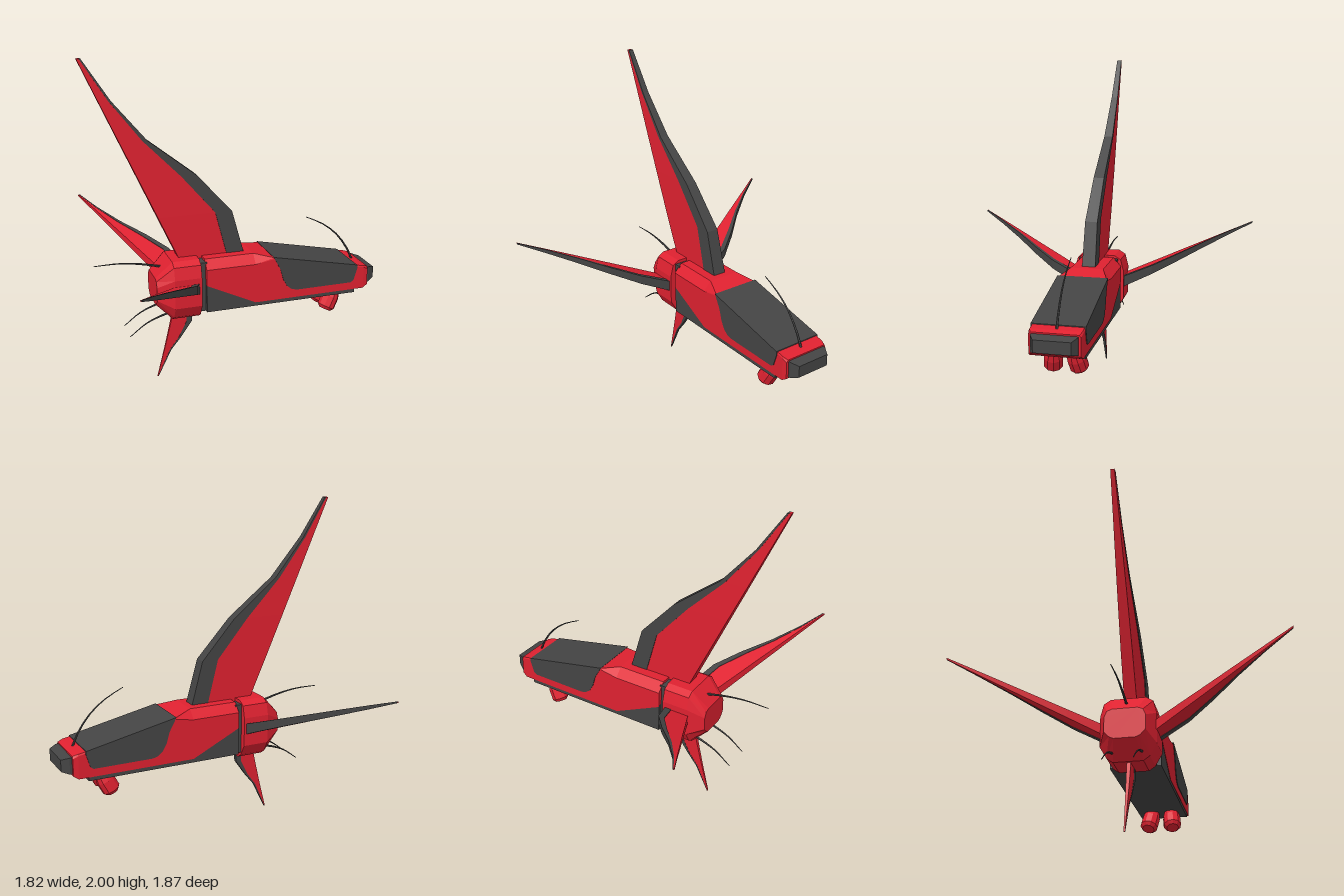
import * as THREE from 'three';

const red = new THREE.MeshStandardMaterial({ color: 0xdf2130, flatShading: true });
const dark = new THREE.MeshStandardMaterial({ color: 0x444444, flatShading: true });
const V = (x, y, z) => new THREE.Vector3(x, y, z);

// Closed solid through matching rings of points, always wound outward
function loft(rings) {
  const tris = [];
  const n = rings[0].length;
  for (let i = 0; i < rings.length - 1; i++) {
    for (let j = 0; j < n; j++) {
      const k = (j + 1) % n, a = rings[i], b = rings[i + 1];
      tris.push([a[j], a[k], b[k]], [a[j], b[k], b[j]]);
    }
  }
  const first = rings[0], last = rings[rings.length - 1];
  for (let j = 1; j < n - 1; j++) {
    tris.push([first[0], first[j + 1], first[j]], [last[0], last[j], last[j + 1]]);
  }
  let volume = 0;
  const c = first[0];
  for (const [p, q, r] of tris) {
    volume += p.clone().sub(c).dot(q.clone().sub(c).cross(r.clone().sub(c)));
  }
  const points = tris.flatMap(t => (volume < 0 ? [t[0], t[2], t[1]] : t));
  const g = new THREE.BufferGeometry().setFromPoints(points);
  g.computeVertexNormals();
  return g;
}

// Side outline extruded evenly to both sides of z = 0
function slab(outline, half) {
  const shape = new THREE.Shape(outline.map(p => new THREE.Vector2(...p)));
  return new THREE.ExtrudeGeometry(shape, { depth: half * 2, bevelEnabled: false }).translate(0, 0, -half);
}

function add(parent, name, geometry, material) {
  const m = new THREE.Mesh(geometry, material);
  m.name = name;
  parent.add(m);
  return m;
}

// Fin rows: [span, trailing x, split x, leading x, half thickness]
function addFin(parent, name, rows, place) {
  const fin = new THREE.Group();
  fin.name = name;
  const strip = (from, to, scale) => loft(rows.map(r => {
    const t = r[4] * scale;
    return [place(r[from], r[0], -t), place(r[to], r[0], -t), place(r[to], r[0], t), place(r[from], r[0], t)];
  }));
  add(fin, name + 'Panel', strip(1, 2, 0.88), red);
  add(fin, name + 'LeadingEdge', strip(2, 3, 1), dark);
  parent.add(fin);
}

// Tapered whisker along points in the xy plane
function addWhisker(parent, name, pts, z) {
  const curve = new THREE.CatmullRomCurve3(pts.map(p => V(p[0], p[1], z)));
  const rings = [];
  for (let i = 0; i <= 8; i++) {
    const p = curve.getPoint(i / 8), t = curve.getTangent(i / 8), r = 0.008 - i * 0.0007;
    const ring = [];
    for (let j = 0; j < 6; j++) {
      const a = j * Math.PI / 3, u = Math.cos(a) * r;
      ring.push(V(p.x - t.y * u, p.y + t.x * u, z + Math.sin(a) * r));
    }
    rings.push(ring);
  }
  add(parent, name, loft(rings), dark);
}

export function createModel() {
  const model = new THREE.Group();
  model.name = 'wingedCraft';

  // Red hull shell: [x, bottom, shoulder, top, top half width, half width]
  const hull = [
    [-0.22, 0.63, 0.73, 0.785, 0.1, 0.15],
    [0.09, 0.48, 0.73, 0.785, 0.1, 0.15],
    [0.21, 0.48, 0.75, 0.758, 0.147, 0.15],
    [0.78, 0.48, 0.628, 0.637, 0.145, 0.15],
    [0.82, 0.48, 0.62, 0.63, 0.145, 0.15],
    [0.85, 0.5, 0.605, 0.62, 0.135, 0.145],
  ];
  add(model, 'hullShell', loft(hull.map(([x, yb, ys, yt, ht, w]) => [
    V(x, yb, -w), V(x, yb, w), V(x, ys, w), V(x, yt, ht), V(x, yt, -ht), V(x, ys, -w),
  ])), red);

  // Dark underside, canopy, collar and nose
  add(model, 'underside', slab([[-0.22, 0.457], [0.76, 0.457], [0.76, 0.485], [0.1, 0.485], [-0.22, 0.64]], 0.148), dark);
  add(model, 'canopy', slab([
    [0.205, 0.763], [0.25, 0.68], [0.27, 0.61], [0.295, 0.565], [0.325, 0.54], [0.36, 0.53],
    [0.73, 0.53], [0.75, 0.545], [0.775, 0.625], [0.772, 0.643],
  ], 0.154), dark);
  add(model, 'collar', slab([[-0.26, 0.457], [-0.21, 0.457], [-0.21, 0.77], [-0.26, 0.77]], 0.122), dark);
  const noseRing = (x, y0, y1, w) => [V(x, y0, -w), V(x, y0, w), V(x, y1, w), V(x, y1, -w)];
  add(model, 'nose', loft([
    noseRing(0.84, 0.505, 0.613, 0.13), noseRing(0.865, 0.51, 0.61, 0.13), noseRing(0.91, 0.525, 0.597, 0.105),
  ]), dark);

  // Faceted engine block, narrowing to the rear
  const half = [[0.1, 0.79], [0.14, 0.765], [0.16, 0.69], [0.16, 0.51], [0.12, 0.44], [0.085, 0.415]];
  const profile = [...half, ...half.map(([z, y]) => [-z, y]).reverse()];
  const engineRing = (x, sz, sy) => profile.map(([z, y]) => V(x, 0.6 + (y - 0.6) * sy, z * sz));
  add(model, 'engine', loft([engineRing(-0.52, 0.72, 0.46), engineRing(-0.42, 1, 1), engineRing(-0.253, 1, 1)]), red);

  // Tall dorsal fin
  addFin(model, 'dorsalFin', [
    [0.72, -0.333, -0.045, 0.065, 0.042],
    [1.05, -0.482, -0.13, -0.025, 0.038],
    [1.29, -0.59, -0.335, -0.24, 0.033],
    [1.52, -0.694, -0.56, -0.53, 0.027],
    [1.76, -0.802, -0.745, -0.73, 0.02],
    [2.0, -0.91, -0.895, -0.885, 0.014],
  ], (x, s, t) => V(x, s, t));

  // Swept side wings
  const wing = [
    [0.12, -0.41, -0.3, -0.255, 0.035],
    [0.33, -0.51, -0.37, -0.33, 0.028],
    [0.48, -0.58, -0.48, -0.445, 0.023],
    [0.63, -0.652, -0.6, -0.58, 0.018],
    [0.79, -0.728, -0.71, -0.7, 0.012],
    [0.936, -0.8, -0.795, -0.788, 0.005],
  ];
  for (const side of [1, -1]) {
    addFin(model, side > 0 ? 'frontWing' : 'backWing', wing,
      (x, s, t) => V(x, 0.62 + (s - 0.16) * 0.413 + t, s * side));
  }

  // Small ventral fin
  addFin(model, 'ventralFin', [
    [0.45, -0.395, -0.31, -0.27, 0.013],
    [0.35, -0.416, -0.315, -0.28, 0.012],
    [0.25, -0.44, -0.365, -0.35, 0.01],
    [0.17, -0.46, -0.425, -0.415, 0.008],
    [0.0, -0.505, -0.502, -0.498, 0.004],
  ], (x, s, t) => V(x, s, t));

  // Whiskers at the nose and tail
  addWhisker(model, 'noseWhisker', [[0.81, 0.61], [0.77, 0.7], [0.69, 0.81], [0.59, 0.89], [0.48, 0.945]], 0);
  addWhisker(model, 'upperTailWhisker', [[-0.46, 0.73], [-0.59, 0.762], [-0.72, 0.78], [-0.87, 0.78]], 0);

  // Paired lower tail whiskers and pods under the nose
  const podProfile = [[0, -0.07], [0.038, -0.07], [0.056, -0.05], [0.056, 0.02], [0.04, 0.08], [0, 0.08]];
  const podGeometry = new THREE.LatheGeometry(podProfile.map(p => new THREE.Vector2(...p)), 10);
  for (const side of [1, -1]) {
    addWhisker(model, 'lowerTailWhisker', [[-0.42, 0.465], [-0.51, 0.44], [-0.59, 0.405], [-0.685, 0.335]], 0.083 * side);
    const pod = add(model, 'pod', podGeometry, red);
    pod.position.set(0.622, 0.398, 0.069 * side);
    pod.rotation.set(-0.15 * side, 0, -0.48);
  }
  return model;
}
